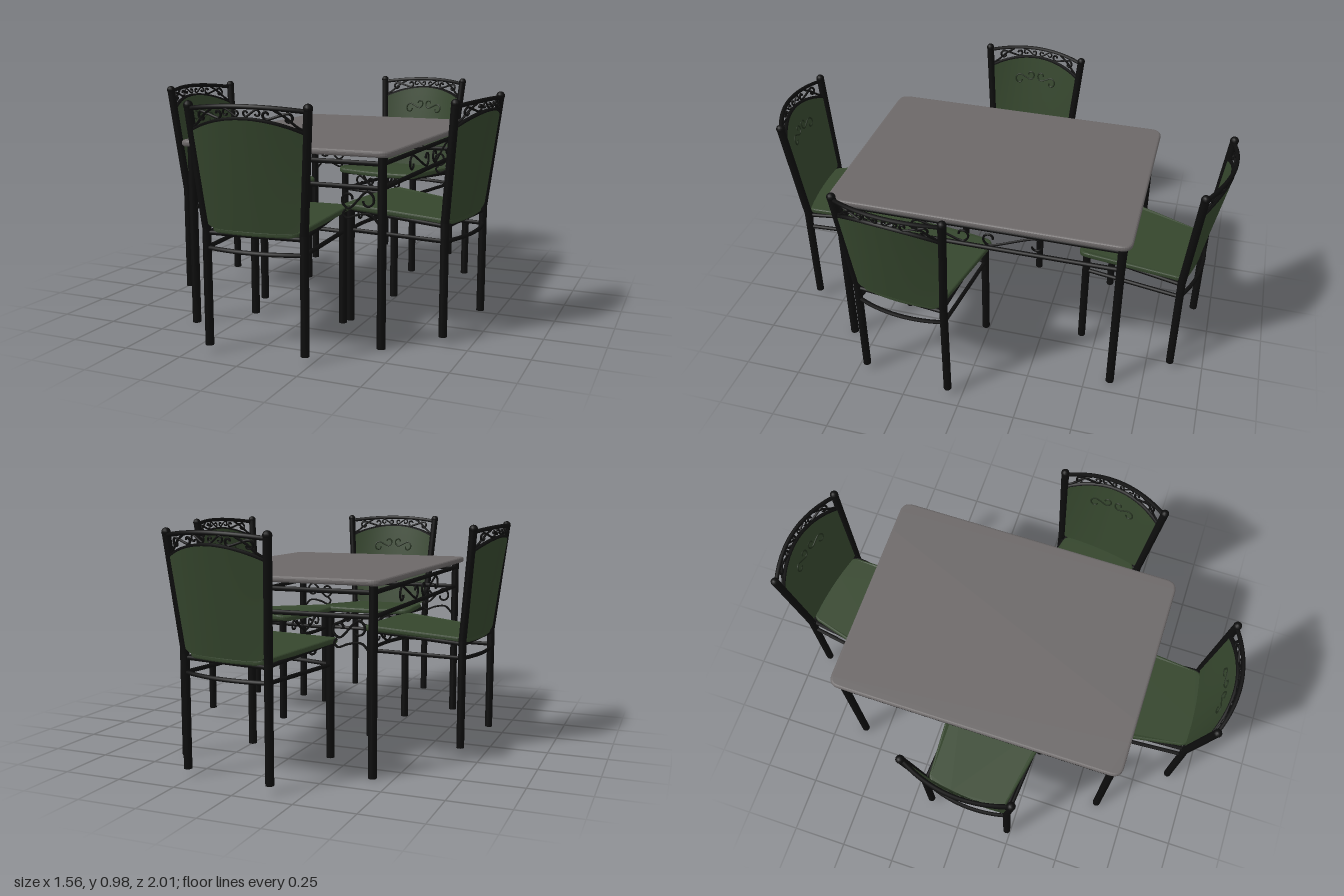
import * as THREE from 'three';

const V = (x, y, z) => new THREE.Vector3(x, y, z);
const mat = (name, color) => {
  const m = new THREE.MeshStandardMaterial({ color });
  m.name = name;
  return m;
};

export function createModel() {
  const iron = mat('black iron', 0x0d0d0d);
  const green = mat('green upholstery', 0x35462d);
  const motif = mat('dark green motif', 0x222e1d);
  const grey = mat('grey table top', 0x6c6868);

  const add = (parent, name, geo, material) => {
    const m = new THREE.Mesh(geo, material);
    m.name = name;
    parent.add(m);
    return m;
  };

  // Round tube through a list of points
  const tube = (parent, name, pts, r, material = iron, closed = false) =>
    add(parent, name, new THREE.TubeGeometry(
      new THREE.CatmullRomCurve3(pts, closed), Math.max(8, pts.length * 3), r, 6, closed), material);

  // Straight capped rod
  const rod = (parent, name, a, b, r, sides = 12) => {
    const d = b.clone().sub(a);
    const m = add(parent, name, new THREE.CylinderGeometry(r, r, d.length(), sides), iron);
    m.position.copy(a).add(b).multiplyScalar(0.5);
    m.quaternion.setFromUnitVectors(V(0, 1, 0), d.normalize());
    return m;
  };

  // S-shaped scroll: curl round (ax, ay), sweep over to a curl round (bx, by)
  const sScroll = (ax, ay, ar, bx, by, br) => {
    const pts = [];
    const curl = (cx, cy, a0, a1, r0, r1) => {
      for (let i = 0; i <= 9; i++) {
        const a = a0 + (a1 - a0) * i / 9, r = r0 + (r1 - r0) * i / 9;
        pts.push([cx + r * Math.cos(a), cy + r * Math.sin(a)]);
      }
    };
    curl(ax, ay, -Math.PI, Math.PI / 2, ar * 0.4, ar);
    curl(bx, by, -Math.PI / 2, -2 * Math.PI, br, br * 0.4);
    return pts;
  };

  // Rounded outline, w0 half width at y0 and w1 half width at y1
  const roundedShape = (w0, y0, w1, y1, r, bow = 0) => {
    const s = new THREE.Shape();
    s.moveTo(-w0 + r, y0);
    s.quadraticCurveTo(0, y0 - bow, w0 - r, y0);
    s.quadraticCurveTo(w0, y0, w0, y0 + r);
    s.lineTo(w1, y1 - r);
    s.quadraticCurveTo(w1, y1, w1 - r, y1);
    s.quadraticCurveTo(0, y1 + bow, -w1 + r, y1);
    s.quadraticCurveTo(-w1, y1, -w1, y1 - r);
    s.lineTo(-w0, y0 + r);
    s.quadraticCurveTo(-w0, y0, -w0 + r, y0);
    return s;
  };
  const slab = (shape, depth, bevel) => new THREE.ExtrudeGeometry(shape, {
    depth, bevelEnabled: true, bevelThickness: bevel, bevelSize: bevel,
    bevelOffset: -bevel, bevelSegments: 3, curveSegments: 8 });

  function makeTable() {
    const g = new THREE.Group();
    g.name = 'table';
    const top = add(g, 'tableTop', slab(roundedShape(0.465, -0.65, 0.465, 0.65, 0.05), 0.006, 0.01), grey);
    top.rotation.x = -Math.PI / 2;
    top.position.y = 0.773;
    const lx = 0.423, lz = 0.61;
    for (const s of [-1, 1]) {
      for (const t of [-1, 1]) rod(g, 'tableLeg', V(s * lx, 0, t * lz), V(s * lx, 0.768, t * lz), 0.018);
      for (const y of [0.735, 0.64]) {
        rod(g, 'longRail', V(s * lx, y, -lz), V(s * lx, y, lz), 0.01, 8);
        rod(g, 'shortRail', V(-lx, y, s * lz), V(lx, y, s * lz), 0.01, 8);
      }
      for (const t of [-1, 1]) {
        // scrolls between the long rails
        tube(g, 'longScroll', sScroll(0.255, 0.688, 0.036, 0.06, 0.688, 0.034)
          .map(([a, y]) => V(s * lx, y, t * a)), 0.005);
        // corner brackets below the short rails
        tube(g, 'cornerScroll', sScroll(0.36, 0.588, 0.036, 0.285, 0.59, 0.036)
          .map(([a, y]) => V(t * a, y, s * lz)), 0.005);
        tube(g, 'cornerBrace', [[0.41, 0.5], [0.375, 0.535], [0.32, 0.53], [0.275, 0.515], [0.26, 0.535], [0.275, 0.55]]
          .map(([a, y]) => V(t * a, y, s * lz)), 0.005);
      }
    }
    return g;
  }

  // Chair back surface: u runs from post to post, y is height
  const backPoint = (u, y, off = 0) => {
    const t = (y - 0.5) / 0.475;
    return V(u * (0.2 + 0.038 * t), y, -0.05 * t - (0.015 + 0.04 * t) * (1 - u * u) + off);
  };
  const panelTop = u => 0.87 + 0.055 * (1 - u * u);
  const railTop = u => 0.953 + 0.018 * (1 - u * u);
  const across = (f, n = 10) => Array.from({ length: n + 1 }, (_, i) => f(-1 + 2 * i / n));

  function makeChair(x, z, fx, fz) {
    const g = new THREE.Group();
    g.name = 'chair';
    const depth = 0.425;

    // legs and raked back posts
    for (const s of [-1, 1]) {
      rod(g, 'backLeg', V(s * 0.2, 0.03, 0), V(s * 0.2, 0.505, 0), 0.017);
      rod(g, 'frontLeg', V(s * 0.2, 0.03, depth), V(s * 0.2, 0.512, depth), 0.017);
      rod(g, 'backPost', V(s * 0.2, 0.495, 0), backPoint(s, 0.965), 0.017);
      add(g, 'postCap', new THREE.SphereGeometry(0.0185, 12, 8), iron).position.copy(backPoint(s, 0.965));
      rod(g, 'sideStretcher', V(s * 0.2, 0.42, 0), V(s * 0.2, 0.42, depth), 0.009, 8);
      rod(g, 'seatRail', V(s * 0.19, 0.478, 0), V(s * 0.19, 0.505, depth), 0.009, 8);
      rod(g, 'seatBrace', V(s * 0.19, 0.478, 0.01), V(-s * 0.19, 0.502, depth), 0.007, 8);
    }
    tube(g, 'backStretcher', across(u => V(u * 0.2, 0.42, -0.035 * (1 - u * u))), 0.009);
    tube(g, 'frontStretcher', across(u => V(u * 0.2, 0.42, depth + 0.025 * (1 - u * u))), 0.009);
    rod(g, 'seatRail', V(-0.2, 0.505, depth), V(0.2, 0.505, depth), 0.009, 8);
    rod(g, 'seatRail', V(-0.2, 0.478, 0), V(0.2, 0.478, 0), 0.009, 8);

    // sloping seat, slightly crowned towards the front
    const seatGeo = slab(roundedShape(0.185, -0.012, 0.232, 0.462, 0.055, 0.02), 0.008, 0.008);
    seatGeo.rotateX(Math.PI / 2);
    const sp = seatGeo.attributes.position;
    for (let i = 0; i < sp.count; i++) {
      const d = sp.getZ(i) / 0.46;
      sp.setY(i, sp.getY(i) + 0.496 + 0.036 * d - 0.012 * Math.max(0, d - 0.9) * 10);
    }
    seatGeo.computeVertexNormals();
    add(g, 'seat', seatGeo, green);

    // bowed upholstered back
    const panel = new THREE.BoxGeometry(2, 1, 0.016, 20, 10, 1);
    const pp = panel.attributes.position;
    for (let i = 0; i < pp.count; i++) {
      const u = pp.getX(i) * 0.96, v = pp.getY(i) + 0.5;
      const low = 0.497 + 0.03 * u ** 10;
      const p = backPoint(u, low + v * (panelTop(u) - low), pp.getZ(i));
      pp.setXYZ(i, p.x, p.y, p.z);
    }
    panel.computeVertexNormals();
    add(g, 'backPanel', panel, green);
    tube(g, 'panelRail', across(u => backPoint(u, panelTop(u))), 0.009);
    tube(g, 'topRail', across(u => backPoint(u, railTop(u))), 0.009);

    for (const s of [-1, 1]) {
      const onBack = (pts, off) => pts.map(([u, y]) => backPoint(s * u / 0.235, y, off));
      // open scrollwork between the rails
      tube(g, 'crestScroll', onBack(sScroll(0.17, 0.928, 0.019, 0.095, 0.942, 0.016)), 0.005);
      tube(g, 'crestScroll', onBack(sScroll(0.06, 0.947, 0.014, 0.02, 0.948, 0.012)), 0.004);
      tube(g, 'crestBrace', onBack([[0.225, 0.885], [0.2, 0.9], [0.16, 0.935], [0.12, 0.96]]), 0.005);
      // raised motif on the front of the back panel
      tube(g, 'backMotif', onBack(sScroll(0.085, 0.81, 0.026, 0.03, 0.838, 0.024), 0.008), 0.004, motif);
      // scrollwork under the front of the seat
      const under = pts => pts.map(([a, y]) => V(s * a, y, depth + 0.005));
      tube(g, 'apronScroll', under(sScroll(0.105, 0.468, 0.025, 0.045, 0.472, 0.02)), 0.005);
      tube(g, 'apronBrace', under([[0.085, 0.497], [0.06, 0.465], [0.03, 0.445], [0, 0.432]]), 0.005);
    }

    g.position.set(x, 0, z);
    g.rotation.y = Math.atan2(fx, fz);
    return g;
  }

  const model = new THREE.Group();
  model.name = 'diningSet';
  const table = makeTable();
  table.position.x = 0.007;
  model.add(table);
  // back-leg midpoint and facing direction of each chair
  for (const c of [
    [-0.672, 0.034, 0.996, 0.083],
    [0.662, 0.262, -0.992, -0.127],
    [0.027, 0.89, -0.0625, -0.998],
    [0.076, -0.888, -0.168, 0.986],
  ]) model.add(makeChair(...c));
  return model;
}
